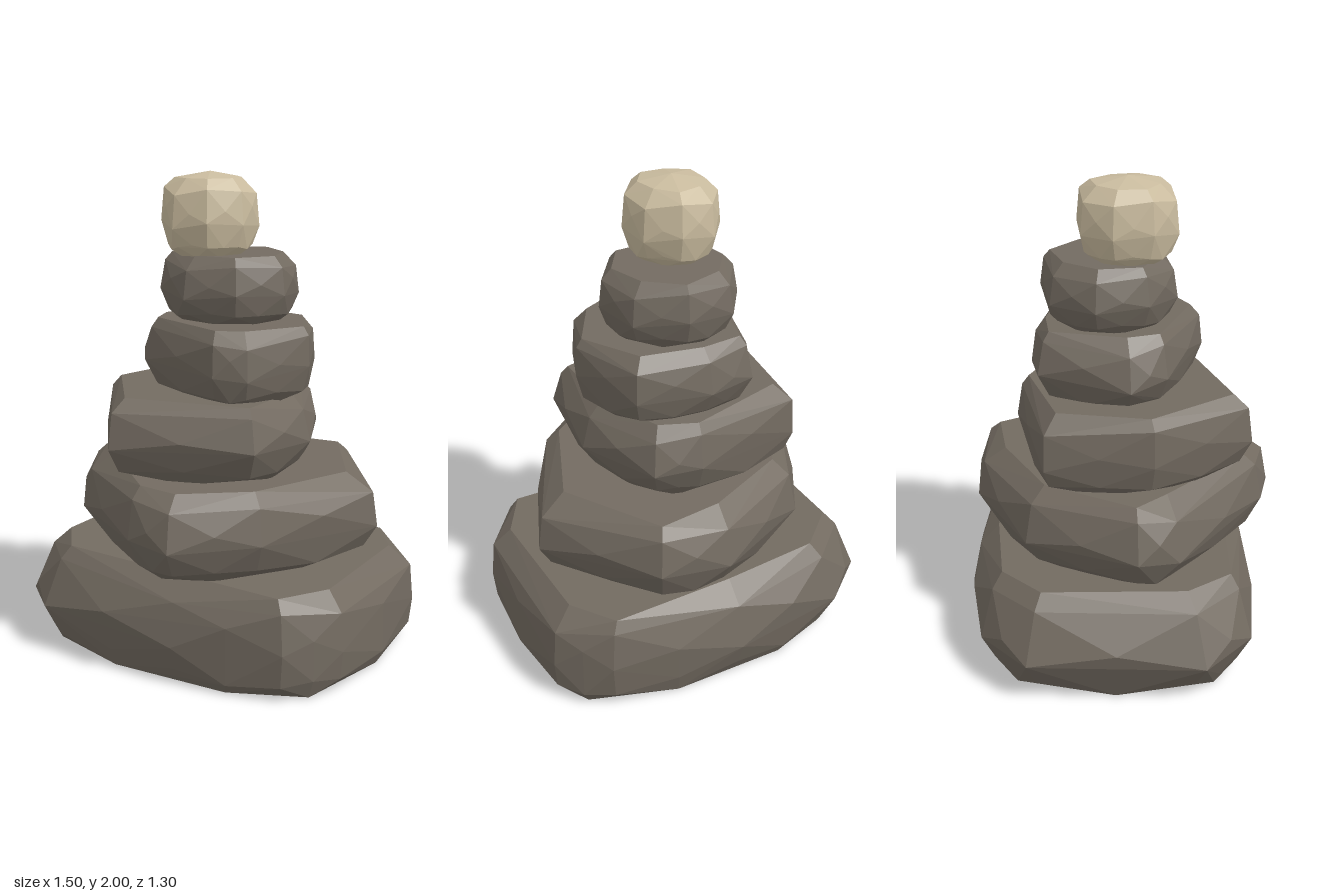
import * as THREE from 'three';
import { ConvexGeometry } from 'three/addons/geometries/ConvexGeometry.js';

// Corners [x, z] of an oval outline
function oval(cx, cz, rx, rz, count, turn) {
  return Array.from({ length: count }, (_, i) => {
    const a = turn + (i / count) * Math.PI * 2;
    return [cx + rx * Math.cos(a), cz + rz * Math.sin(a)];
  });
}

// Faceted boulder: hull of staggered rings, so the sides break into large triangles.
// Corners carry the upper rings, edge middles the lower ones. Sizes are relative to the
// outline; skew widens the shoulders towards +x, tilt leans the top along x.
function stoneGeometry(corners, { bottom, top, foot, bottomCap, head, topCap, skew, tilt, dome = 0 }) {
  const height = top - bottom;
  const centre = corners.reduce((s, [x, z]) => s.add(new THREE.Vector2(x, z)), new THREE.Vector2())
    .divideScalar(corners.length);
  const points = [new THREE.Vector3(centre.x, top + dome, centre.y)];
  const add = (spoke, level, size, lean = 0) => points.push(new THREE.Vector3(
    centre.x + spoke.x * size,
    bottom + height * level + lean * spoke.x * size,
    centre.y + spoke.y * size,
  ));
  corners.forEach(([x, z], i) => {
    const [nx, nz] = corners[(i + 1) % corners.length];
    const corner = new THREE.Vector2(x, z).sub(centre);
    const middle = new THREE.Vector2((x + nx) / 2, (z + nz) / 2).sub(centre);
    middle.setLength(middle.length() + 0.02 * Math.hypot(nx - x, nz - z));
    const wobble = 0.05 * Math.sin(i * 2.4);

    add(corner, 0.42 + wobble, 1);
    add(corner, 0.84 + wobble, head + skew * corner.x, tilt);
    add(corner, 0.14, foot - 0.02 + skew * corner.x);
    add(corner, 1, topCap + wobble + skew * corner.x, tilt);

    add(middle, 0.6 - wobble, 1);
    add(middle, 0.14 + wobble, foot + skew * middle.x);
    add(middle, 0, bottomCap + skew * middle.x);
  });
  return new ConvexGeometry(points);
}

export function createModel() {
  const group = new THREE.Group();
  group.name = 'stoneStack';

  const darkStone = new THREE.MeshStandardMaterial({ color: 0x736b61, flatShading: true });
  darkStone.name = 'darkStone';
  const paleStone = new THREE.MeshStandardMaterial({ color: 0xcabc9f, flatShading: true });
  paleStone.name = 'paleStone';

  function addStone(name, material, corners, shape) {
    const mesh = new THREE.Mesh(stoneGeometry(corners, shape), material);
    mesh.name = name;
    group.add(mesh);
  }

  // Broad squarish base
  addStone('baseStone', darkStone, [
    [-0.75, 0.32], [-0.55, 0.52], [0.1, 0.57], [0.57, 0.51], [0.73, 0.3],
    [0.74, -0.4], [0.56, -0.58], [0, -0.655], [-0.5, -0.59], [-0.72, -0.4],
  ], { bottom: 0, top: 0.435, foot: 0.96, bottomCap: 0.92, head: 0.94, topCap: 0.85, skew: 0.06, tilt: -0.04 });

  // Wide stone with a point at the front
  addStone('secondStone', darkStone, [
    [0.14, 0.65], [-0.07, 0.6], [-0.55, 0.22], [-0.63, 0.05], [-0.4, -0.4],
    [0.05, -0.62], [0.35, -0.6], [0.675, -0.14], [0.42, 0.4],
  ], { bottom: 0.42, top: 0.795, foot: 0.92, bottomCap: 0.8, head: 0.95, topCap: 0.83, skew: 0.03, tilt: -0.02 });

  // Middle stones, roughly triangular and turned against each other
  addStone('thirdStone', darkStone, [
    [-0.2, 0.535], [-0.46, 0.12], [-0.42, -0.32], [0.08, -0.44],
    [0.27, -0.39], [0.415, -0.03], [0.37, 0.37],
  ], { bottom: 0.78, top: 1.12, foot: 0.92, bottomCap: 0.82, head: 0.95, topCap: 0.84, skew: -0.08, tilt: -0.03 });
  addStone('fourthStone', darkStone, [
    [0.17, 0.35], [-0.25, 0.18], [-0.34, 0.03], [-0.2, -0.34],
    [0, -0.37], [0.3, -0.3], [0.42, 0], [0.3, 0.3],
  ], { bottom: 1.085, top: 1.4, foot: 0.91, bottomCap: 0.78, head: 0.95, topCap: 0.84, skew: 0.1, tilt: -0.02 });

  // Small rounded stones at the top
  addStone('fifthStone', darkStone, oval(0.025, -0.05, 0.29, 0.285, 8, 0.2),
    { bottom: 1.395, top: 1.67, foot: 0.91, bottomCap: 0.78, head: 0.94, topCap: 0.8, skew: 0.05, tilt: -0.01 });
  addStone('topStone', paleStone, oval(-0.025, 0.025, 0.197, 0.212, 8, 0.3),
    { bottom: 1.66, top: 1.975, foot: 0.88, bottomCap: 0.65, head: 0.94, topCap: 0.68, skew: 0, tilt: 0, dome: 0.025 });

  return group;
}
